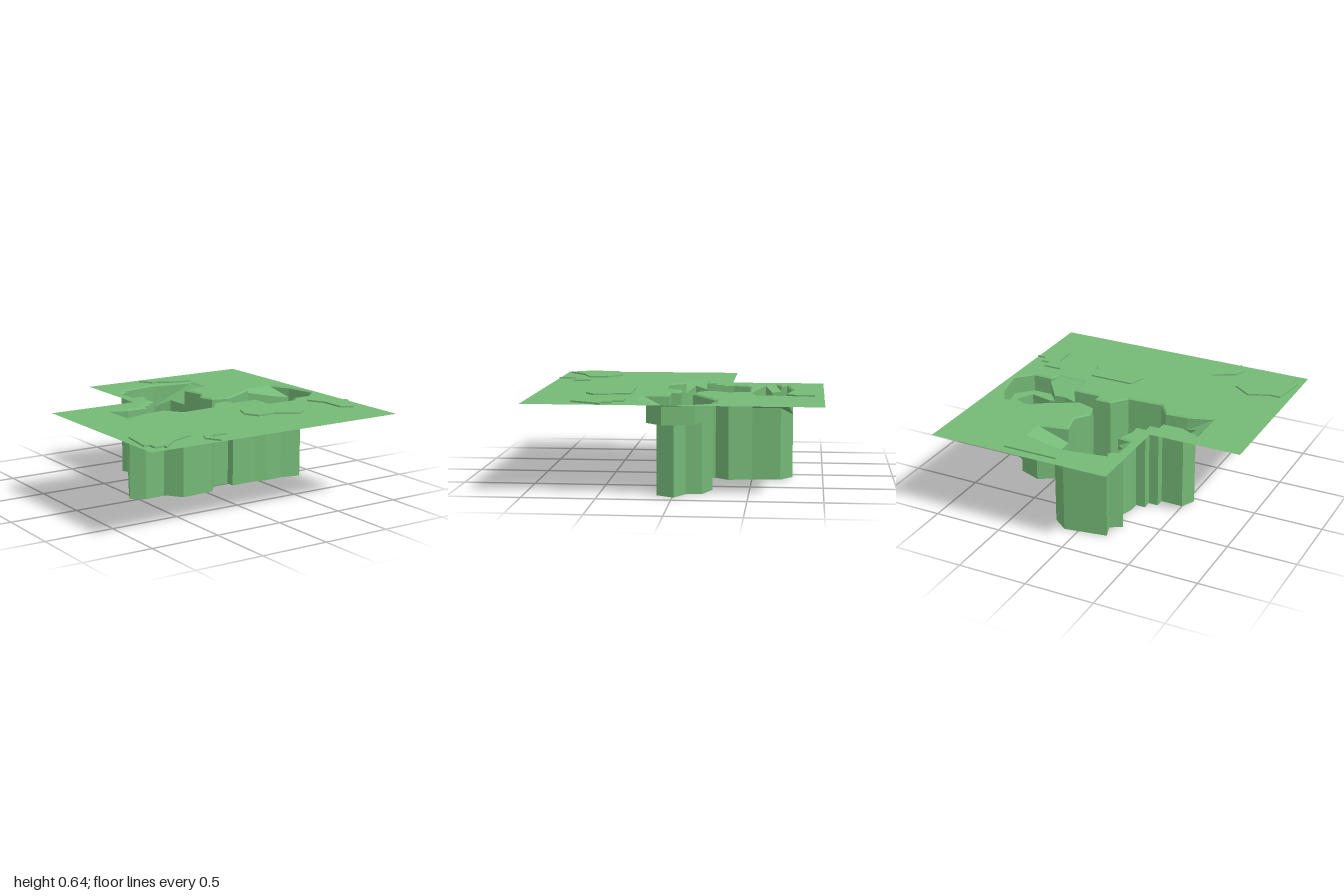
import * as THREE from 'three';

const GROUND = 0.625, LIP = 0.615, SHELF = 0.49, SLOPE = 0.52;
const grass = new THREE.MeshStandardMaterial({ color: 0x74b876, side: THREE.DoubleSide, flatShading: true });
const dark = new THREE.MeshStandardMaterial({ color: 0x050505, side: THREE.DoubleSide, flatShading: true });

// Heights of the sloping ledges
const lip = () => LIP;
const shelf = () => SHELF;
const west = (x) => LIP - SLOPE * (x + 0.63);
const northWest = (x) => LIP - SLOPE * (x + 0.255);
const northEast = (x) => LIP - SLOPE * (0.41 - x);
const eastBack = (x, z) => LIP - SLOPE * (z + 0.28);
const eastFront = (x, z) => LIP - SLOPE * (0.235 - z);

// Pit edge, clockwise from above: inner = foot of the pit wall, outer = rim of a ledge beside it
const sections = [
  { name: 'westRamp', h: west, inner: [[-0.455, 0.025], [-0.55, -0.04], [-0.5, -0.14]],
    outer: [[-0.455, 0.025], [-0.63, 0.08], [-0.63, -0.2], [-0.5, -0.14]] },
  { inner: [[-0.5, -0.14], [-0.34, -0.14], [-0.34, -0.205], [-0.27, -0.205], [-0.27, -0.27],
    [-0.2, -0.27], [-0.2, -0.35], [-0.16, -0.47]] },
  { name: 'northWestRamp', h: northWest, inner: [[-0.16, -0.47], [-0.25, -0.58], [-0.17, -0.63], [-0.19, -0.695]],
    outer: [[-0.16, -0.47], [-0.255, -0.48], [-0.255, -0.655], [-0.19, -0.695]] },
  { inner: [[-0.19, -0.695], [-0.205, -0.735], [0.1, -0.785]] },
  { name: 'northEastRamp', h: northEast, inner: [[0.1, -0.785], [0.21, -0.7], [0.21, -0.5]],
    outer: [[0.1, -0.785], [0.41, -0.725], [0.41, -0.545], [0.21, -0.5]] },
  { inner: [[0.21, -0.5], [0.25, -0.335], [0.175, -0.24], [0.21, -0.13], [0.335, -0.09], [0.62, -0.25]] },
  { name: 'eastBackRamp', h: eastBack, inner: [[0.62, -0.25], [0.78, -0.19]],
    outer: [[0.62, -0.25], [0.635, -0.28], [0.855, -0.28], [0.93, -0.15]] },
  { name: 'eastShelf', h: shelf, inner: [[0.78, -0.19], [0.79, -0.08], [0.915, -0.01], [0.845, 0.11], [0.69, 0.075], [0.64, 0.08]],
    outer: [[0.93, -0.15], [0.975, 0.065], [0.865, 0.175], [0.725, 0.175]] },
  { name: 'eastFrontRamp', h: eastFront, inner: [[0.64, 0.08], [0.555, 0.085], [0.465, 0.065]],
    outer: [[0.725, 0.175], [0.69, 0.235], [0.465, 0.235], [0.465, 0.065]] },
  { inner: [[0.465, 0.065], [0.265, 0.065], [0.265, 0], [0.14, 0], [0.05, 0.115], [-0.205, 0.13],
    [-0.295, 0.01], [-0.455, 0.025]] },
];

const stones = [
  [[0.01, -0.68], [0.08, -0.71], [0.1, -0.68], [0.05, -0.64], [0.015, -0.645]],
  [[-0.015, -0.535], [0.01, -0.565], [0.035, -0.53], [0.005, -0.47], [-0.02, -0.495]],
  [[0.06, -0.43], [0.095, -0.455], [0.14, -0.415], [0.11, -0.365], [0.07, -0.39]],
  [[-0.075, -0.305], [-0.03, -0.335], [0.015, -0.29], [0.005, -0.225], [-0.055, -0.25]],
  [[-0.215, -0.045], [-0.175, -0.11], [-0.13, -0.055], [-0.16, -0.035], [-0.19, -0.01]],
  [[-0.045, -0.105], [-0.005, -0.15], [0.035, -0.115], [0.01, -0.06], [-0.04, -0.07]],
];

const patches = [
  [[0.07, -0.935], [0.465, -0.935], [0.465, -0.81], [0.42, -0.74], [0.25, -0.78], [0.18, -0.84], [0.13, -0.84]],
  [[0.14, 0.33], [0.465, 0.33], [0.465, 0.44], [0.5, 0.49], [0.51, 0.585], [0.43, 0.645], [0.28, 0.545],
    [0.15, 0.545], [0.095, 0.45]],
  [[0.735, 0.33], [0.865, 0.33], [0.865, 0.4], [0.93, 0.4], [0.93, 0.465], [0.998, 0.465], [0.88, 0.68],
    [0.8, 0.63], [0.8, 0.45]],
  [[-0.93, 0.6], [-0.85, 0.6], [-0.7, 0.54], [-0.57, 0.635], [-0.57, 0.78], [-0.73, 0.84], [-0.865, 0.965],
    [-0.865, 0.93], [-0.93, 0.93], [-0.93, 0.86], [-0.97, 0.86]],
  [[-0.335, 0.735], [-0.335, 0.86], [-0.47, 0.86], [-0.47, 0.995], [-0.53, 0.9], [-0.495, 0.82]],
];

const toPlan = (pts) => pts.map(([x, z]) => new THREE.Vector2(x, -z));
const lift = (pts, h) => pts.map(([x, z]) => [x, h(x, z), z]);
const close = (pts) => [...pts, pts[0]];

// Flat or sloping surface over a plan outline
function surface(pts, h, holes = []) {
  const shape = new THREE.Shape(toPlan(pts));
  shape.holes = holes.map((hole) => new THREE.Path(toPlan(hole)));
  const geo = new THREE.ShapeGeometry(shape).rotateX(-Math.PI / 2);
  const p = geo.attributes.position;
  for (let i = 0; i < p.count; i++) p.setY(i, h(p.getX(i), p.getZ(i)));
  geo.computeVertexNormals();
  return geo;
}

// Faceted band between a lower and an upper path
function band(lower, upper) {
  const v = [];
  for (let i = 0; i < lower.length - 1; i++) {
    v.push(...lower[i], ...lower[i + 1], ...upper[i + 1], ...lower[i], ...upper[i + 1], ...upper[i]);
  }
  const geo = new THREE.BufferGeometry();
  geo.setAttribute('position', new THREE.Float32BufferAttribute(v, 3));
  geo.computeVertexNormals();
  return geo;
}
const wall = (pts, low, high) => band(lift(pts, low), lift(pts, high));

// Widen a clockwise outline by d with mitred corners
function widen(pts, d) {
  const n = pts.length;
  const normal = (a, b) => {
    const l = Math.hypot(b[0] - a[0], b[1] - a[1]);
    return [(b[1] - a[1]) / l, (a[0] - b[0]) / l];
  };
  return pts.map((p, i) => {
    const a = normal(pts[(i + n - 1) % n], p), b = normal(p, pts[(i + 1) % n]);
    const k = d / Math.max(0.5, 1 + a[0] * b[0] + a[1] * b[1]);
    return [p[0] + (a[0] + b[0]) * k, p[1] + (a[1] + b[1]) * k];
  });
}

export function createModel() {
  const model = new THREE.Group();
  model.name = 'groundWithPit';
  const add = (name, geo, mat = grass) => {
    const mesh = new THREE.Mesh(geo, mat);
    mesh.name = name;
    model.add(mesh);
  };

  const floorRing = sections.flatMap((s) => s.inner.slice(0, -1));
  const rimRing = sections.flatMap((s) => (s.outer || s.inner).slice(0, -1));
  const holeRing = widen(rimRing, 0.012);

  // L-shaped ground with the pit cut out, and its bevelled lip
  const outline = [[-1, -0.335], [-0.335, -0.335], [-0.335, -1], [1, -1], [1, 1], [-1, 1]];
  add('ground', surface(outline, () => GROUND, [holeRing]));
  add('pitLip', band(lift(close(rimRing), lip), lift(close(holeRing), () => GROUND)));

  // Pit walls, ledges and the low walls behind the ledges
  for (const { name, inner, outer, h = lip } of sections) {
    add('pitWall', wall(inner, () => 0, h));
    if (!outer) continue;
    const rim = [...outer].reverse().filter((p) => !inner.some((q) => q[0] === p[0] && q[1] === p[1]));
    add(name, surface([...inner, ...rim], h));
    add(name + 'Wall', wall(outer, h, lip));
  }

  // Steps from the east shelf up to its two ramps
  add('shelfBackStep', wall([[0.78, -0.19], [0.93, -0.15]], shelf, eastBack));
  add('shelfFrontStep', wall([[0.725, 0.175], [0.64, 0.08]], shelf, eastFront));

  // Dark floor with stones rising through it
  add('pitFloor', surface(floorRing, () => 0, stones), dark);
  for (const s of stones) {
    add('stoneSide', wall(close([...s].reverse()), () => 0, () => 0.05));
    add('stoneTop', surface(s, () => 0.05));
  }

  // Raised patches on the ground
  for (const p of patches) {
    const geo = new THREE.ExtrudeGeometry(new THREE.Shape(toPlan(p)), { depth: 0.011, bevelEnabled: false });
    add('raisedPatch', geo.rotateX(-Math.PI / 2).translate(0, GROUND + 0.001, 0));
  }
  return model;
}
